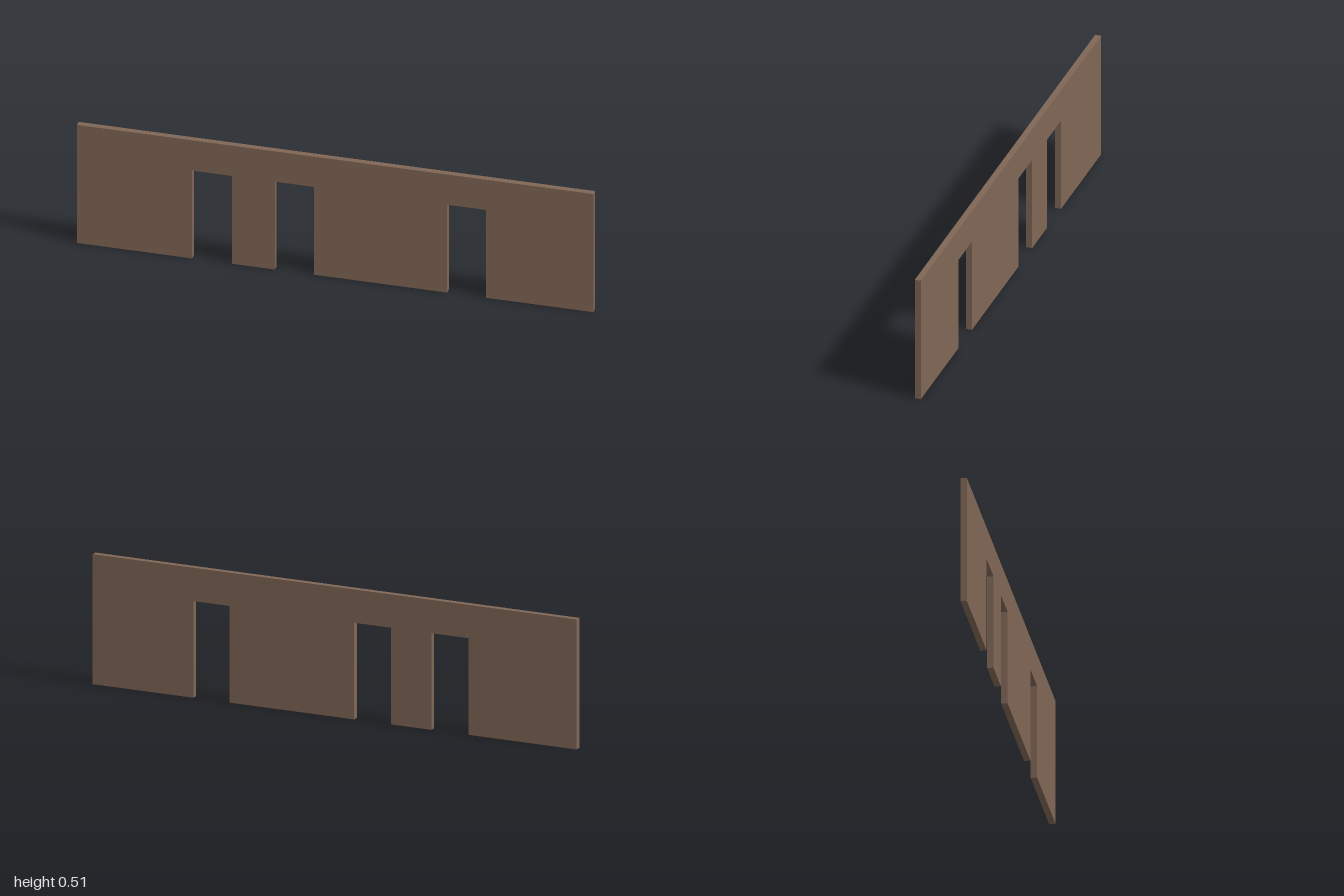
import * as THREE from 'three';

const HEIGHT = 0.507;
const DEPTH = 0.024;
const DOOR_HEIGHT = 0.377;
// Left and right edge of each doorway along x
const DOORWAYS = [[-0.554, -0.4], [-0.234, -0.081], [0.434, 0.584]];

export function createModel() {
  const model = new THREE.Group();
  model.name = 'partitionWall';

  const brown = new THREE.MeshStandardMaterial({ color: 0x806656 });
  brown.name = 'brown';

  // Wall outline, stepping up and over each doorway
  const outline = new THREE.Shape();
  outline.moveTo(-1, 0);
  for (const [x0, x1] of DOORWAYS) {
    outline.lineTo(x0, 0);
    outline.lineTo(x0, DOOR_HEIGHT);
    outline.lineTo(x1, DOOR_HEIGHT);
    outline.lineTo(x1, 0);
  }
  outline.lineTo(1, 0);
  outline.lineTo(1, HEIGHT);
  outline.lineTo(-1, HEIGHT);
  outline.closePath();

  const geometry = new THREE.ExtrudeGeometry(outline, { depth: DEPTH, bevelEnabled: false });
  geometry.translate(0, 0, -DEPTH / 2);

  const wall = new THREE.Mesh(geometry, brown);
  wall.name = 'wallWithDoorways';
  model.add(wall);
  return model;
}
